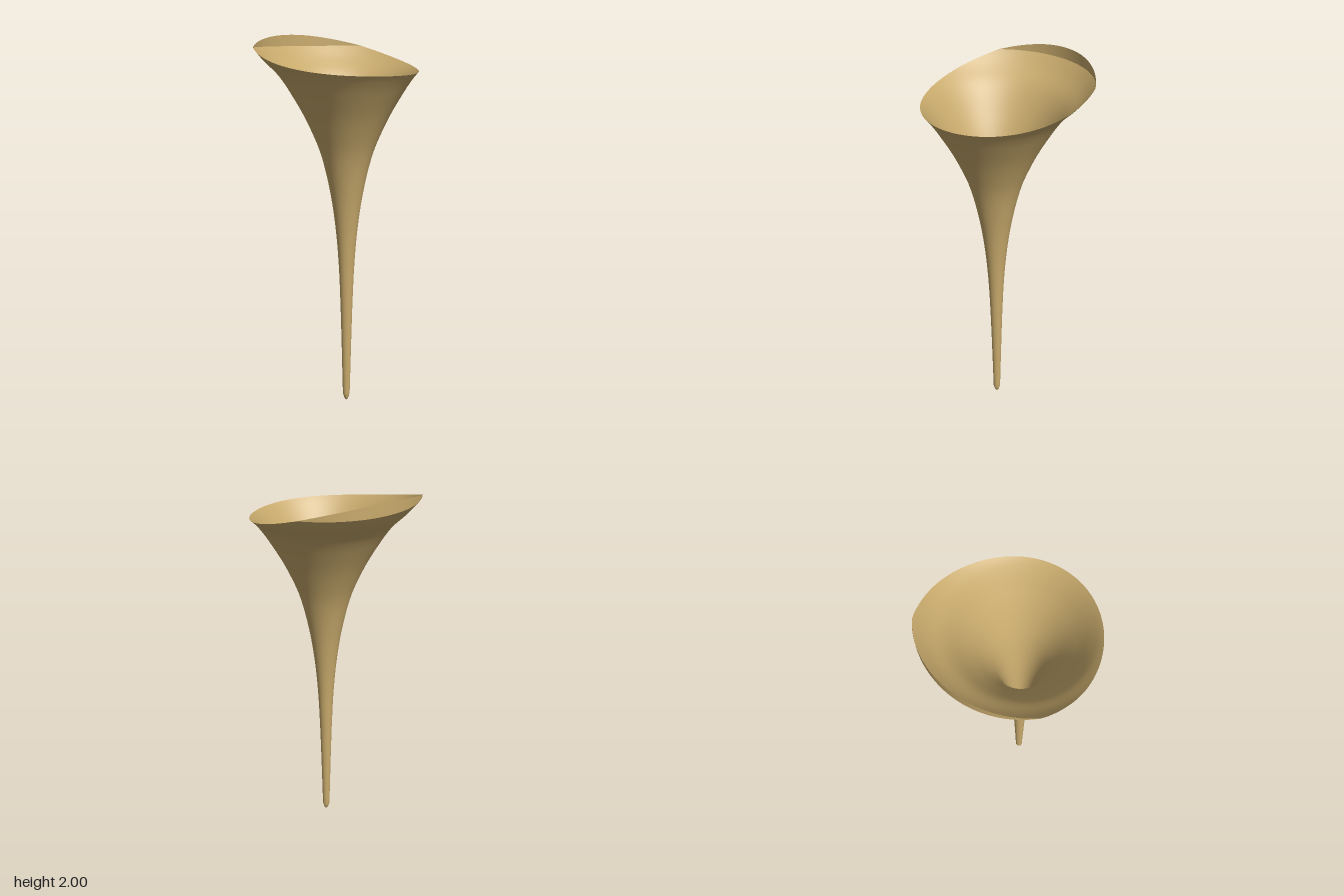
import * as THREE from 'three';

const AXIS_Z = 0.06;   // the stem stands slightly forward of centre
const SEGMENTS = 96;
const NECK_Y = 1.7;    // rings are level below this height
const FLARE_Y = 1.94;  // the flare ends here and a short upright wall begins
const FLARE_R = 0.482;

// Bell profile: radius at height
const heights = [0.04, 0.2, 0.4, 0.6, 0.8, 1.0, 1.2, 1.4, 1.5, 1.6, 1.7, 1.76, 1.81, 1.876, FLARE_Y];
const radii = [0.019, 0.023, 0.028, 0.034, 0.043, 0.06, 0.09, 0.139, 0.179, 0.227, 0.285, 0.323, 0.361, 0.428, FLARE_R];
const profile = new THREE.CubicInterpolant(heights, radii, 1);

function radiusAt(y) {
  if (y >= FLARE_Y) return FLARE_R;
  if (y < 0.04) return 0.019 * Math.sqrt(y / 0.04); // rounded tip
  return profile.evaluate(y)[0];
}

// Slanted, gently curved mouth: height of the rim for a depth z
const mouthHeight = (z) => 1.87 - 0.227 * z + 0.2 * z * z;

function rimHeight(angle) {
  let low = NECK_Y, high = 2.05;
  for (let i = 0; i < 40; i++) {
    const y = (low + high) / 2;
    if (y < mouthHeight(AXIS_Z + radiusAt(y) * Math.cos(angle))) low = y;
    else high = y;
  }
  return low;
}

// Closed rings around the axis; heightAt(ring, angle) gives each vertex height
function ringSurface(rings, heightAt) {
  const positions = [], index = [];
  for (let j = 0; j < rings; j++) {
    for (let i = 0; i < SEGMENTS; i++) {
      const a = (i / SEGMENTS) * Math.PI * 2;
      const y = heightAt(j, a), r = radiusAt(y);
      positions.push(r * Math.sin(a), y, AXIS_Z + r * Math.cos(a));
      if (j === rings - 1) continue;
      const next = (i + 1) % SEGMENTS, p = j * SEGMENTS, q = p + SEGMENTS;
      index.push(p + i, p + next, q + next, p + i, q + next, q + i);
    }
  }
  const geometry = new THREE.BufferGeometry();
  geometry.setAttribute('position', new THREE.Float32BufferAttribute(positions, 3));
  geometry.setIndex(index);
  geometry.computeVertexNormals();
  return geometry;
}

export function createModel() {
  const model = new THREE.Group();
  model.name = 'horn';
  const brass = new THREE.MeshStandardMaterial({ color: 0xc8aa6c, side: THREE.DoubleSide });
  brass.name = 'brass';

  // Stem and bell, with the upper rings squeezed to meet the slanted mouth
  const levels = [0, 0.004, 0.012, 0.025, 0.04];
  for (let i = 1; i <= 40; i++) levels.push(0.04 + ((NECK_Y - 0.04) * i) / 40);
  const upper = 12;
  const bell = new THREE.Mesh(ringSurface(levels.length + upper, (j, a) => {
    if (j < levels.length) return levels[j];
    const top = Math.min(rimHeight(a), FLARE_Y);
    return NECK_Y + ((top - NECK_Y) * (j - levels.length + 1)) / upper;
  }), brass);
  bell.name = 'bell';
  model.add(bell);

  // Upright wall at the back of the mouth, tapering away to the sides
  const wall = new THREE.Mesh(ringSurface(2, (j, a) => {
    const top = rimHeight(a);
    return j ? top : Math.min(top, FLARE_Y);
  }), brass);
  wall.name = 'rearLip';
  model.add(wall);

  return model;
}
